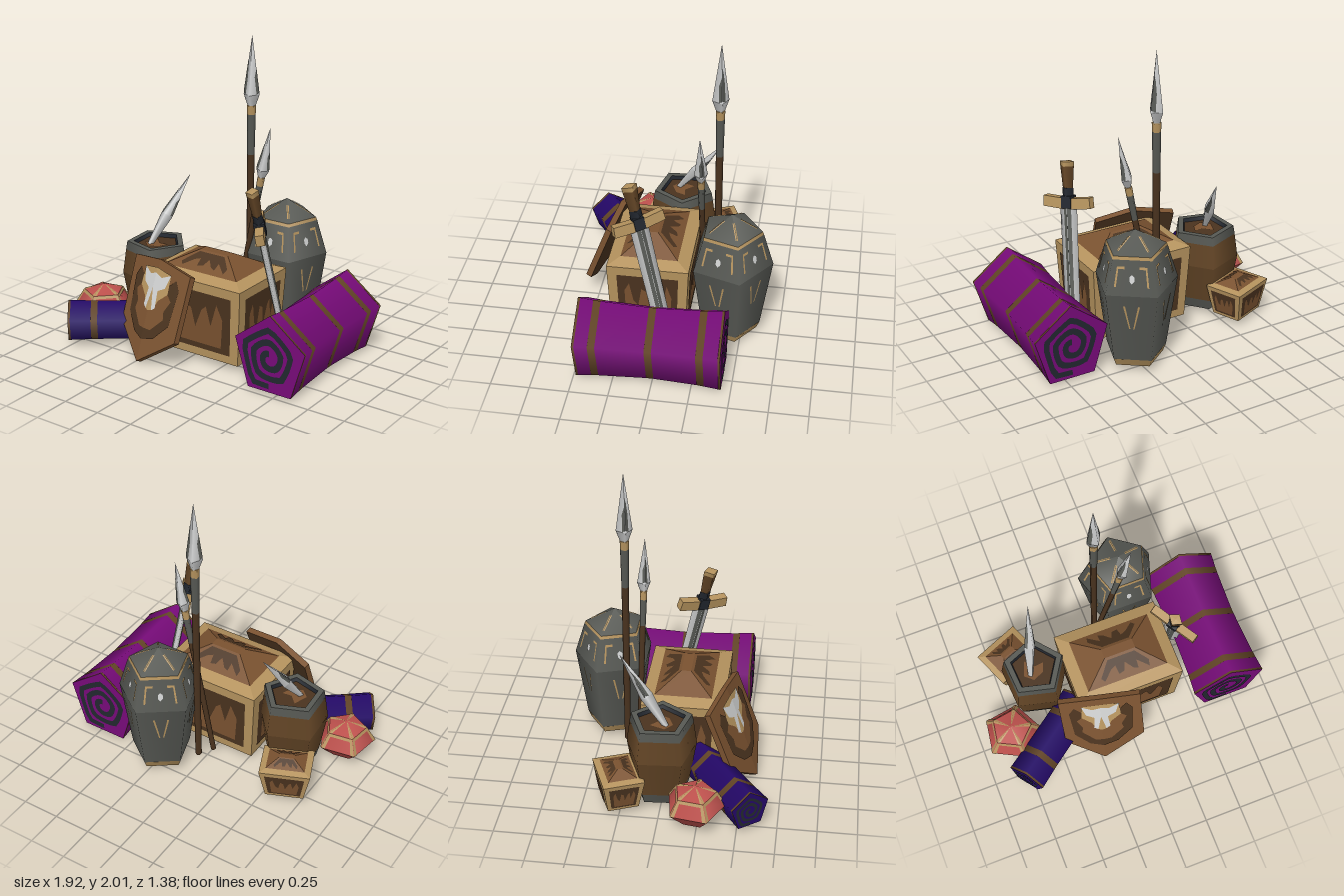
import * as THREE from 'three';

const mat = (name, color) => { const m = new THREE.MeshStandardMaterial({ color }); m.name = name; return m; };
const brown = mat('brown leather', 0x7a5230), dark = mat('dark brown', 0x4a331f), band = mat('strap brown', 0x634526),
  tan = mat('tan trim', 0xb5935e), slate = mat('slate', 0x575954), coal = mat('charcoal', 0x22272f),
  purple = mat('purple cloth', 0x770b79), blue = mat('blue cloth', 0x240868), red = mat('red cloth', 0xbd504c),
  steel = mat('steel', 0xcfd0d0);

const V = (x, y, z) => new THREE.Vector3(x, y, z);
const FULL = [[0, 0], [1, 0], [1, 1], [0, 1]];

function add(parent, name, geo, material) {
  const m = new THREE.Mesh(geo, material);
  m.name = name;
  parent.add(m);
  return m;
}
function group(parent, name, x = 0, y = 0, z = 0) {
  const g = new THREE.Group();
  g.name = name;
  g.position.set(x, y, z);
  parent.add(g);
  return g;
}
// Outline in 0..1 coordinates laid on a four-cornered face (bl, br, tr, tl)
function patch(parent, name, [a, b, c, d], material, outline = FULL, lift = 0) {
  const geo = new THREE.ShapeGeometry(new THREE.Shape(outline.map(p => new THREE.Vector2(...p))));
  const n = c.clone().sub(a).cross(d.clone().sub(b)).normalize().multiplyScalar(lift);
  const p = geo.attributes.position;
  for (let i = 0; i < p.count; i++) {
    const u = p.getX(i), v = p.getY(i);
    const q = a.clone().lerp(b, u).lerp(d.clone().lerp(c, u), v).add(n);
    p.setXYZ(i, q.x, q.y, q.z);
  }
  geo.computeVertexNormals();
  add(parent, name, geo, material);
}
// Turned body: rows of [radius, y, material of the section above]
function turned(parent, name, rows, sides = 5, phase = 0) {
  for (let i = 0; i < rows.length - 1; i++) {
    const pts = [rows[i], rows[i + 1]].map(r => new THREE.Vector2(r[0], r[1]));
    add(parent, name, new THREE.LatheGeometry(pts, sides, phase), rows[i][2]);
  }
}
// Corners of one flat side of a turned body
function facet(k, phase, r1, y1, r2, y2, sides = 5) {
  const at = (r, y, j) => {
    const a = phase + j * Math.PI * 2 / sides;
    return V(r * Math.sin(a), y, r * Math.cos(a));
  };
  return [at(r1, y1, k), at(r1, y1, k + 1), at(r2, y2, k + 1), at(r2, y2, k)];
}
// Stand a group's y axis along a -> b, with x as near as possible to side
function aim(g, a, b, side = V(1, 0, 0)) {
  const y = b.clone().sub(a).normalize(), z = side.clone().cross(y).normalize();
  g.quaternion.setFromRotationMatrix(new THREE.Matrix4().makeBasis(y.clone().cross(z), y, z));
  g.position.copy(a);
}

// Framed chest with streaked panels and a low hipped lid
function chest(parent, name, w, d, h, taper, frame) {
  const g = group(parent, name);
  const ring = (hx, hz, y) => [[-1, 1], [1, 1], [1, -1], [-1, -1]].map(([x, z]) => V(x * hx, y, z * hz));
  const X = w / 2, Z = d / 2;
  const low = ring(X * taper, Z * taper, 0), rim = ring(X, Z, h), inner = ring(X - frame, Z - frame, h * 1.06),
    ridge = ring(X * 0.3, Z * 0.12, h * 1.23);
  const drips = [[0.12, 0.9], [0.12, 0.3], [0.2, 0.15], [0.26, 0.5], [0.34, 0.6], [0.4, 0.25], [0.48, 0.3],
    [0.53, 0.62], [0.62, 0.3], [0.68, 0.22], [0.74, 0.55], [0.82, 0.15], [0.9, 0.4], [0.88, 0.9]];
  const square = m => [[m, 0.11], [1 - m, 0.11], [1 - m, 0.88], [m, 0.88]];
  for (let k = 0; k < 4; k++) {
    const n = (k + 1) % 4, m = frame * 0.8 / (k % 2 ? d : w), side = [low[k], low[n], rim[n], rim[k]];
    patch(g, 'chestSide', side, tan);
    patch(g, 'chestPanel', side, dark, square(m), 0.004);
    patch(g, 'panelStreaks', side, brown, drips.map(([u, v]) => [m + u * (1 - 2 * m), 0.88 - v * 0.77]), 0.008);
    patch(g, 'lidRim', [rim[k], rim[n], inner[n], inner[k]], tan);
    const slope = [inner[k], inner[n], ridge[n], ridge[k]];
    patch(g, 'lidSlope', slope, brown);
    if (k % 2 === 0) patch(g, 'lidStreaks', slope, dark, drips, 0.004);
  }
  patch(g, 'lidTop', ridge, brown);
  const base = [low[3], low[2], low[1], low[0]];
  patch(g, 'chestBase', base, tan);
  patch(g, 'basePanel', base, dark, square(0.12), 0.004);
  return g;
}

// Rolled cloth along its own y axis with straps and a spiral at each end
function clothRoll(parent, name, r, len, cloth, straps, pinch) {
  const g = group(parent, name), H = len / 2, rad = y => r * (1 - pinch + pinch * (y / H) ** 2);
  const rows = [[0, -H, cloth], [r, -H, band], [rad(-H + 0.015), -H + 0.015, cloth]];
  for (const [y, w] of straps) rows.push([rad(y - w), y - w, band], [rad(y + w), y + w, cloth]);
  rows.push([rad(H - 0.015), H - 0.015, band], [r, H, cloth], [0, H, cloth]);
  turned(g, name + 'Wrap', rows, 5, Math.PI);
  const arc = (i, off) => {
    const t = i / 56, a = t * Math.PI * 5, q = (a / (Math.PI * 0.4)) % 1;
    const five = 1 - t * (1 - Math.cos(Math.PI / 5) / Math.cos((q - 0.5) * Math.PI * 0.4));
    const s = r * (0.1 + 0.72 * t + off) * five;
    return new THREE.Vector2(s * Math.sin(a), -s * Math.cos(a));
  };
  const pts = [];
  for (let i = 0; i <= 56; i++) pts.push(arc(i, 0.08));
  for (let i = 56; i >= 0; i--) pts.push(arc(i, -0.08));
  for (const s of [1, -1]) {
    const m = add(g, 'spiral', new THREE.ShapeGeometry(new THREE.Shape(pts)), coal);
    m.rotation.x = -s * Math.PI / 2;
    if (s > 0) m.rotation.z = Math.PI;
    m.position.y = s * (H + 0.004);
  }
  return g;
}

// Four-sided blade from y to y + len with dark stains by its edges
function spearHead(parent, neck, wide, y, len, shoulder) {
  const mid = y + len * shoulder, phase = 0.3;
  turned(parent, 'spearHead', [[neck, y, steel], [wide, mid, steel], [0, y + len, steel]], 4, phase);
  for (let k = 0; k < 4; k++) patch(parent, 'headStain', facet(k, phase, wide, mid, 0, y + len, 4), slate,
    k % 2 ? [[0, 0.05], [0.4, 0], [0.5, 0.3], [0.35, 0.5], [0, 0.6]] : [[0.7, 0], [1, 0.05], [1, 0.45], [0.6, 0.3]], 0.002);
}

function spear(parent, name, foot, tip, headLen, r) {
  const g = group(parent, name), S = foot.distanceTo(tip) - headLen;
  turned(g, 'shaft', [[0, 0, dark], [r * 0.75, 0, dark], [r * 0.85, S * 0.78, slate], [r, S - 0.06, tan],
    [r * 1.05, S, tan], [0, S, tan]], 6);
  spearHead(g, r, r * 1.9, S, headLen, 0.16);
  aim(g, foot, tip);
}

function shield(parent) {
  const g = group(parent, 'shield');
  const tip = V(-0.23, 0.01, 0.59), br = V(0.06, 0.2, 0.57), tr = V(0.08, 0.6, 0.42), tc = V(-0.19, 0.645, 0.37),
    tl = V(-0.45, 0.6, 0.29), bl = V(-0.46, 0.19, 0.44);
  const m = -0.01; // overlap across the middle fold
  const art = [
    ['field', dark, [[m, 0.22], [0.35, 0.18], [0.72, 0.28], [0.78, 0.75], [0.64, 0.87], [0.5, 0.8], [m, 0.7]]],
    ['fieldCentre', brown, [[m, 0.33], [0.2, 0.29], [0.52, 0.38], [0.48, 0.48], [0.62, 0.6], [0.4, 0.72], [m, 0.66]]],
    ['crest', tan, [[m, 0.5], [0.12, 0.5], [0.24, 0.6], [0.48, 0.68], [0.46, 0.9], [m, 0.92]]],
    ['crestWing', steel, [[m, 0.87], [m, 0.74], [0.1, 0.5], [0.2, 0.52], [0.16, 0.7], [0.36, 0.74], [0.46, 0.9], [0.2, 0.84]]]];
  const halves = [[[tip, br, tr, tc], u => u], [[bl, tip, tc, tl], u => 1 - u]];
  const back = V(0.01, -0.015, -0.035);
  for (const [c, f] of halves) {
    patch(g, 'shieldFace', c, brown);
    art.forEach(([n, colour, o], i) => patch(g, n, c, colour, o.map(([u, v]) => [f(u), v]), 0.006 + i * 0.001));
    patch(g, 'shieldBack', [c[1], c[0], c[3], c[2]].map(p => p.clone().add(back)), dark);
  }
  const edge = [tip, br, tr, tc, tl, bl];
  edge.forEach((p, i) => {
    const q = edge[(i + 1) % 6];
    patch(g, 'shieldEdge', [p.clone().add(back), q.clone().add(back), q, p], brown);
  });
}

function sword(parent) {
  const g = group(parent, 'sword');
  const part = (name, rows, colour, flat) => {
    const h = group(g, name);
    turned(h, name, rows.map(([r, y]) => [r, y, colour]), 4, 0);
    h.scale.z = flat;
    return h;
  };
  const blade = part('blade', [[0, -0.9], [0.055, -0.78], [0.062, 0], [0, 0]], steel, 0.4);
  for (let k = 0; k < 4; k++) patch(blade, 'fuller', facet(k, 0, 0.055, -0.78, 0.062, 0, 4), slate,
    FULL.map(([u, v]) => [k % 2 ? 1 - u * 0.4 : u * 0.4, v]), 0.002);
  part('grip', [[0, 0], [0.04, 0], [0.04, 0.1], [0, 0.1]], coal, 0.8);
  part('gripWrap', [[0.036, 0.09], [0.05, 0.24]], band, 0.8);
  part('pommel', [[0.05, 0.24], [0.052, 0.27], [0, 0.275]], tan, 0.8);
  for (const s of [-1, 1]) {
    const arm = add(g, 'guardArm', new THREE.BoxGeometry(0.15, 0.07, 0.055), tan);
    arm.position.set(s * 0.095, 0.005, 0);
    arm.rotation.z = s * 0.08;
  }
  add(g, 'guardHub', new THREE.BoxGeometry(0.07, 0.08, 0.07), coal).position.y = 0.01;
  aim(g, V(0.415, 0.905, 0.145), V(0.39, 1.17, 0.205), V(0.2, -0.09, 0.29));
}

export function createModel() {
  const root = new THREE.Group();
  root.name = 'treasurePile';

  chest(root, 'chest', 0.72, 0.53, 0.51, 0.92, 0.08).position.set(0.05, 0.04, 0.095);
  const small = chest(root, 'smallBox', 0.33, 0.265, 0.21, 0.75, 0.04);
  small.position.set(-0.62, 0.04, -0.268);
  small.rotation.y = 0.39;

  const bigRoll = clothRoll(root, 'purpleRoll', 0.263, 0.92, purple, [[-0.33, 0.023], [-0.01, 0.023], [0.34, 0.023]], 0.1);
  bigRoll.position.set(0.71, 0.241, 0.02);
  bigRoll.rotation.x = Math.PI / 2;
  bigRoll.scale.z = 1.06;
  const smallRoll = clothRoll(root, 'blueRoll', 0.138, 0.66, blue, [[-0.16, 0.022], [0.16, 0.022]], 0.05);
  aim(smallRoll, V(-0.53, 0.152, 0.385), V(-0.795, 0.152, 0.58), V(0.59, 0, 0.8));

  // Tall slate jar with trim lines
  const jar = group(root, 'tallJar', 0.25, 0, -0.42);
  turned(jar, 'jarBody', [[0, 0.04, tan], [0.18, 0.04, tan], [0.2, 0.09, slate], [0.272, 0.57, slate],
    [0.205, 0.79, tan], [0.197, 0.81, slate], [0, 0.92, slate]], 5, Math.PI);
  for (let k = 0; k < 5; k++) {
    const upper = facet(k, Math.PI, 0.272, 0.57, 0.205, 0.79), lower = facet(k, Math.PI, 0.2, 0.09, 0.272, 0.57),
      cap = facet(k, Math.PI, 0.197, 0.81, 0.02, 0.909);
    for (const f of [u => u, u => 1 - u]) {
      const mark = (c, m, o) => patch(jar, 'jarTrim', c, m, o.map(([u, v]) => [f(u), v]), 0.004);
      mark(upper, tan, [[0.14, 0.25], [0.18, 0.25], [0.18, 0.75], [0.32, 0.75], [0.32, 0.82], [0.14, 0.82]]);
      mark(lower, tan, [[0.44, 0.5], [0.47, 0.5], [0.37, 0.85], [0.33, 0.85]]);
      mark(cap, tan, [[0, 0.2], [0.04, 0.2], [0.12, 0.8], [0, 0.8]]);
    }
    patch(jar, 'jarStud', upper, steel, [[0.45, 0.42], [0.5, 0.34], [0.56, 0.42], [0.56, 0.54], [0.5, 0.6], [0.45, 0.54]], 0.005);
  }

  // Brown barrel with slate rims
  const pot = group(root, 'barrel', -0.507, 0, -0.01);
  turned(pot, 'barrelBody', [[0, 0.04, slate], [0.17, 0.04, slate], [0.19, 0.11, band], [0.235, 0.37, band],
    [0.213, 0.53, slate], [0.203, 0.59, slate], [0.16, 0.59, coal], [0.15, 0.565, dark], [0, 0.565, dark]], 5, 1.64);
  patch(pot, 'barrelStain', [V(-0.1, 0.565, 0.08), V(0.08, 0.565, 0.08), V(0.08, 0.565, -0.08), V(-0.1, 0.565, -0.08)],
    brown, [[0.1, 0.3], [0.4, 0], [0.8, 0.2], [0.95, 0.6], [0.6, 0.55], [0.3, 0.9]], 0.005);
  const barrelBlade = group(root, 'barrelBlade');
  spearHead(barrelBlade, 0.018, 0.042, 0, 0.55, 0.42);
  aim(barrelBlade, V(-0.545, 0.56, 0.03), V(-0.43, 1.0, -0.28));

  // Red pouch with tan seams
  const seam = -1.1, pouch = group(root, 'redPouch', -0.778, 0, 0.237);
  const rows = [[0.09, 0.04], [0.196, 0.15], [0.135, 0.25], [0, 0.295]];
  turned(pouch, 'pouchBody', [[0, 0.04, red], ...rows.map(r => [...r, red])], 5, seam);
  for (let k = 0; k < 5; k++) for (let i = 0; i < 3; i++) {
    const c = facet(k, seam, ...rows[i], ...rows[i + 1]);
    if (i) for (const u of [0, 0.89]) patch(pouch, 'pouchSeam', c, tan, [[u, 0], [u + 0.11, 0], [u + 0.11, 1], [u, 1]], 0.003);
    if (i === 1) patch(pouch, 'pouchBand', c, tan, [[0, 0.82], [1, 0.82], [1, 1], [0, 1]], 0.004);
  }

  spear(root, 'tallSpear', V(0.03, 0.04, -0.31), V(0.04, 2, -0.31), 0.46, 0.028);
  spear(root, 'shortSpear', V(-0.03, 0.04, -0.22), V(0.25, 1.45, -0.212), 0.35, 0.023);
  shield(root);
  sword(root);
  return root;
}
